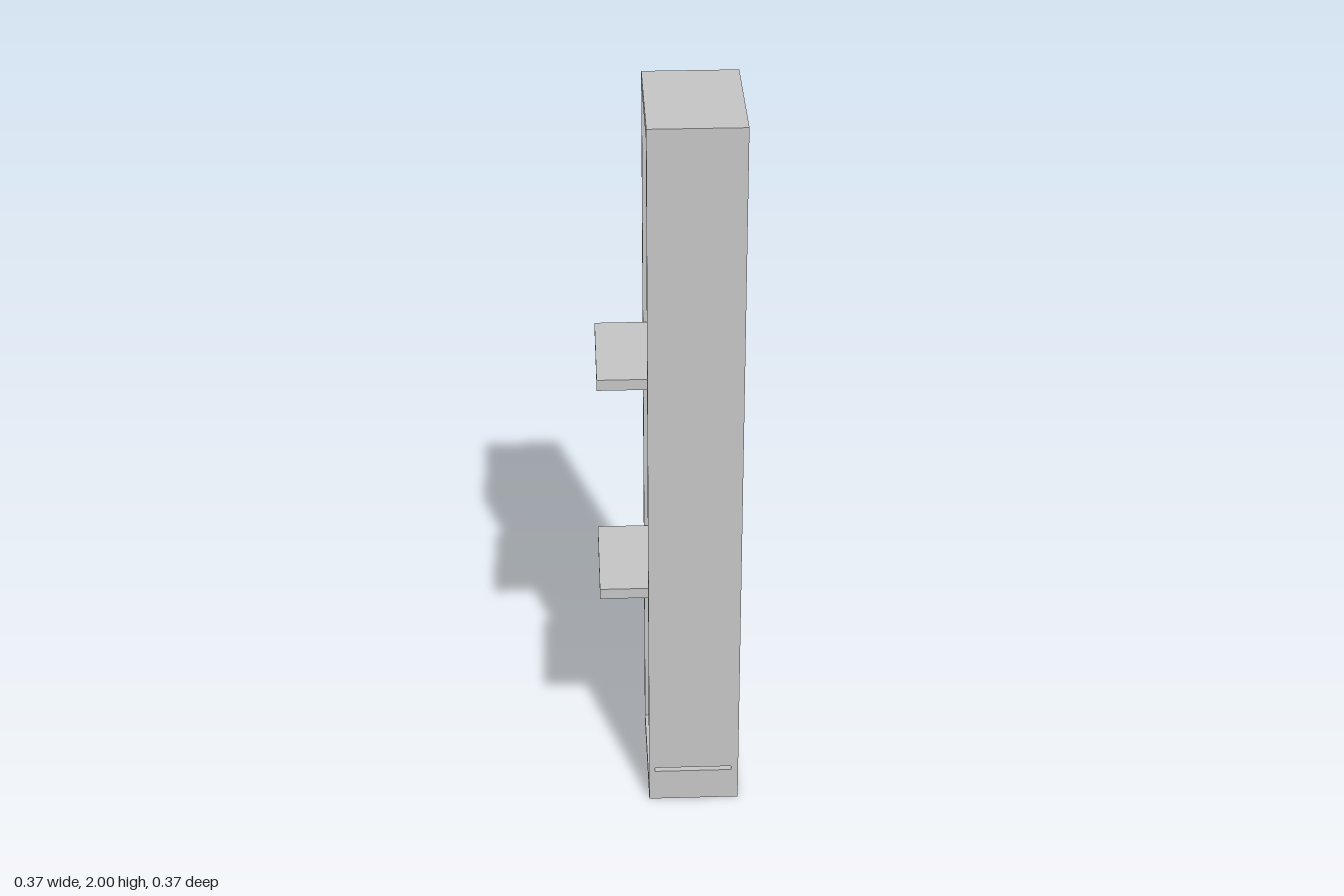
import * as THREE from 'three';

export function createModel() {
  const model = new THREE.Group();
  const grey = new THREE.MeshStandardMaterial({ color: 0xc4c4c4 });
  grey.name = 'light grey';

  // cabinet limits and board thickness
  const X0 = -0.059, X1 = 0.186, Z = 0.184, T = 0.02, TOP = 1.965;

  function add(name, geometry) {
    const mesh = new THREE.Mesh(geometry, grey);
    mesh.name = name;
    model.add(mesh);
    return mesh;
  }

  function box(name, x0, x1, y0, y1, z0, z1) {
    const mesh = add(name, new THREE.BoxGeometry(x1 - x0, y1 - y0, z1 - z0));
    mesh.position.set((x0 + x1) / 2, (y0 + y1) / 2, (z0 + z1) / 2);
    return mesh;
  }

  // board in the XY plane with one rectangular cut-out
  function slottedBoard(x0, x1, y0, y1, hx0, hx1, hy0, hy1, depth) {
    const rect = (P, a, b, c, d) => new P([
      new THREE.Vector2(a, c), new THREE.Vector2(b, c),
      new THREE.Vector2(b, d), new THREE.Vector2(a, d)]);
    const shape = rect(THREE.Shape, x0, x1, y0, y1);
    shape.holes.push(rect(THREE.Path, hx0, hx1, hy0, hy1));
    return new THREE.ExtrudeGeometry(shape, { depth, bevelEnabled: false });
  }

  // front and back boards, each with a slot near the floor
  for (const [name, z] of [['frontBoard', Z - T], ['backBoard', -Z]]) {
    add(name, slottedBoard(X0, X1, 0, TOP, -0.043, 0.167, 0.094, 0.106, T)).position.z = z;
  }

  // closed side with a slot under the top
  const side = add('sideBoard', slottedBoard(-Z + T, Z - T, 0, TOP, -0.156, 0.156, 1.943, 1.957, T));
  side.rotation.y = Math.PI / 2;
  side.position.x = X1 - T;

  // top board
  box('topBoard', X0, X1, TOP, 2, -Z, Z);

  // floor frame around an opening, set slightly above the bottom edge
  const floor = add('floorFrame', slottedBoard(X0 + T, X1 - T, -Z + T, Z - T,
    X0 + 0.048, X1 - 0.048, -Z + 0.05, Z - 0.05, 0.02));
  floor.rotation.x = -Math.PI / 2;
  floor.position.y = 0.012;

  // bottom rail of the open side
  box('bottomRail', X0, X0 + T, 0, 0.03, -Z + T, Z - T);

  // recessed panels between the shelves
  const levels = [[0.65, 0.68], [1.28, 1.31]];
  const spans = [[0.03, 0.65], [0.69, 1.28], [1.32, 1.942]];
  for (const [y0, y1] of spans) {
    box('recessedPanel', X0 + T, X0 + T + 0.012, y0, y1, -Z + T, Z - T);
  }

  // projecting shelves
  for (const [y0, y1] of levels) {
    box('shelf', -0.186, X0 + T + 0.012, y0, y1, -0.157, 0.156);
  }

  return model;
}
